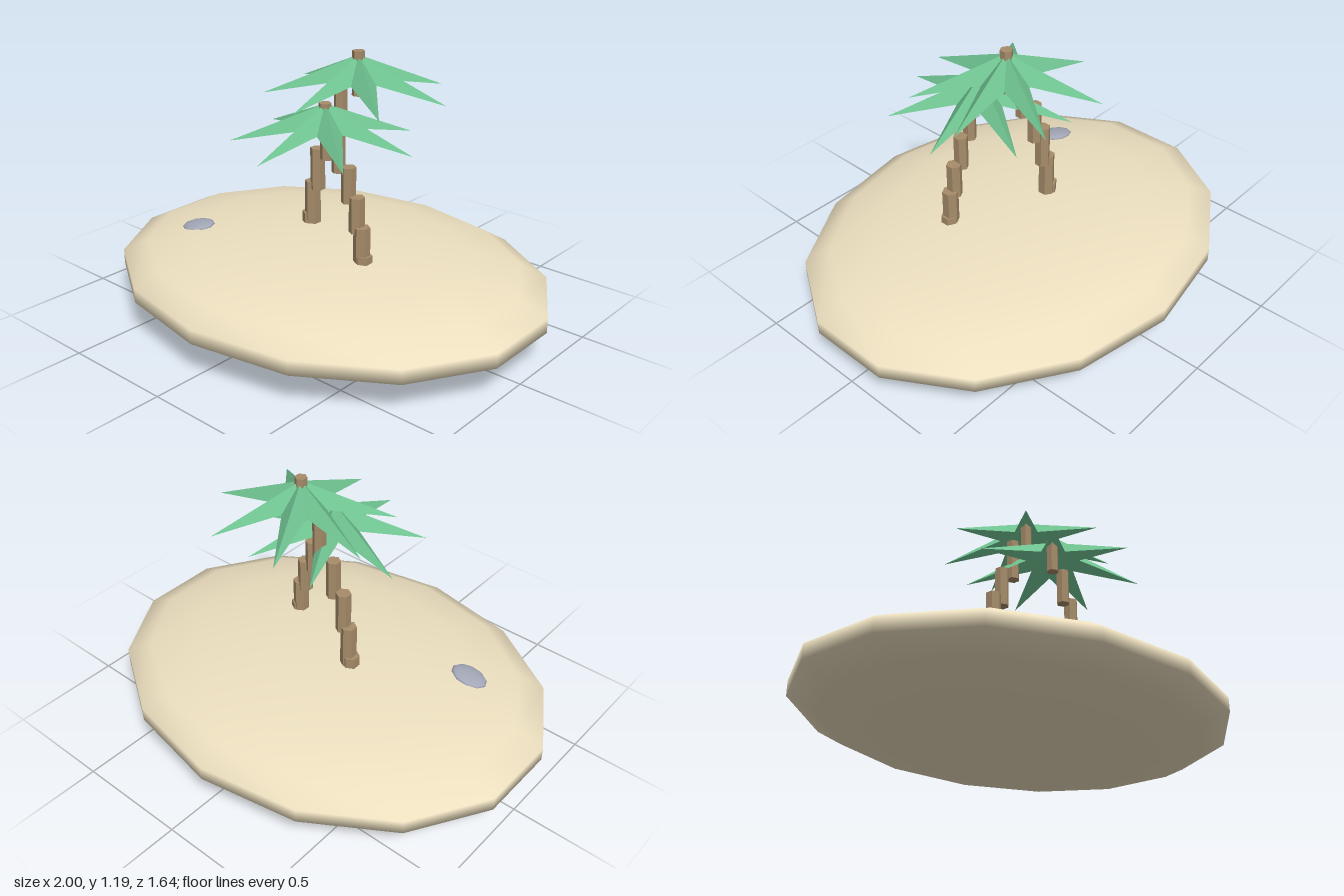
import * as THREE from 'three';

const paint = (color, extra = {}) => new THREE.MeshStandardMaterial({ color, ...extra });
const sand = paint(0xede0c0);
const bark = paint(0xa68c6a, { flatShading: true });
const leaf = paint(0x6fc290, { flatShading: true, side: THREE.DoubleSide });
const stone = paint(0xa4a8b8);

function add(parent, name, geometry, material, x, y, z) {
  const mesh = new THREE.Mesh(geometry, material);
  mesh.name = name;
  mesh.position.set(x, y, z);
  parent.add(mesh);
  return mesh;
}

// Seven-pointed folded star: a ridge runs to each tip, with lower notches between
function crownGeometry(leaves = 7, reach = 0.395, notch = 0.12) {
  const point = (radius, y, step) => {
    const a = (step / leaves) * Math.PI * 2;
    return [radius * Math.sin(a), y, radius * Math.cos(a)];
  };
  const apex = [0, 0, 0];
  const corners = [];
  for (let i = 0; i < leaves; i++) {
    const tip = point(reach, -0.165, i);
    const before = point(notch, -0.105, i - 0.5);
    const after = point(notch, -0.105, i + 0.5);
    corners.push(...apex, ...before, ...tip, ...apex, ...tip, ...after);
  }
  const geometry = new THREE.BufferGeometry();
  geometry.setAttribute('position', new THREE.Float32BufferAttribute(corners, 3));
  geometry.computeVertexNormals();
  return geometry;
}

// Palm made of stacked upright hexagonal segments, each [x, bottom, top]
function palm(name, z, segments, apexY) {
  const tree = new THREE.Group();
  tree.name = name;
  segments.forEach(([x, bottom, top], i) => {
    const radius = 0.038 - i * 0.0022;
    const geometry = new THREE.CylinderGeometry(radius, radius, top - bottom, 6);
    add(tree, 'trunkSegment' + (i + 1), geometry, bark, x, (bottom + top) / 2, z);
  });
  const topX = segments[segments.length - 1][0];
  add(tree, 'crown', crownGeometry(), leaf, topX, apexY, z);
  return tree;
}

export function createModel() {
  const model = new THREE.Group();
  model.name = 'palmIsland';

  // Flattened sandy island
  const islandShape = new THREE.SphereGeometry(1, 14, 9).rotateY(Math.PI / 2);
  islandShape.scale(1.0415, 0.183, 0.831);
  add(model, 'island', islandShape, sand, 0, 0.184, 0);

  // Flat stone lying along the slope of the sand
  const stoneShape = new THREE.SphereGeometry(1, 10, 8).scale(0.086, 0.018, 0.066);
  const pebble = add(model, 'stone', stoneShape, stone, -0.57, 0.321, 0.255);
  pebble.rotation.set(0.12, 0, 0.16);

  // Two palms leaning towards each other
  model.add(palm('tallPalm', -0.05, [
    [-0.155, 0.33, 0.41], [-0.14, 0.35, 0.56], [-0.11, 0.53, 0.72],
    [-0.055, 0.68, 0.86], [0.022, 0.84, 1.03], [0.117, 1.0, 1.19],
  ], 1.172));
  model.add(palm('shortPalm', 0.123, [
    [0.297, 0.33, 0.387], [0.288, 0.34, 0.51], [0.26, 0.48, 0.635],
    [0.215, 0.6, 0.755], [0.16, 0.72, 0.88], [0.087, 0.85, 1.0],
  ], 0.997));
  return model;
}
